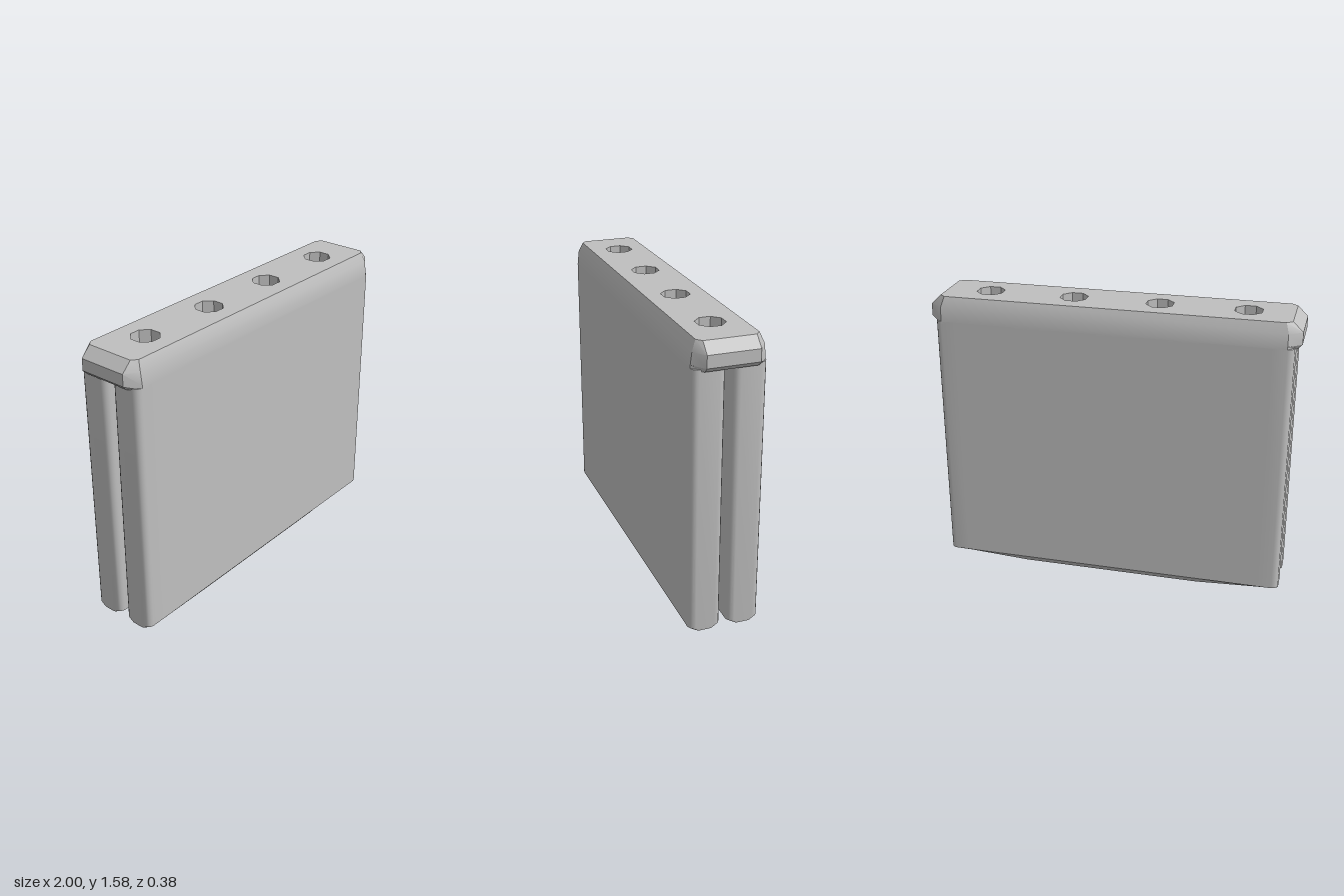
import * as THREE from 'three';
import { toCreasedNormals } from 'three/addons/utils/BufferGeometryUtils.js';

const grey = new THREE.MeshStandardMaterial({ color: 0xbfbfbf });
grey.name = 'grey';

// Extrudes a floor outline downward in layers; place(v, layer) sets each vertex, layer 0 on top.
function layered(shape, steps, place) {
  const geometry = new THREE.ExtrudeGeometry(shape, { depth: 1, steps, bevelEnabled: false });
  geometry.rotateX(Math.PI / 2);
  const p = geometry.attributes.position;
  const v = new THREE.Vector3();
  for (let i = 0; i < p.count; i++) {
    v.fromBufferAttribute(p, i);
    place(v, Math.round(-v.y * steps));
    p.setXYZ(i, v.x, v.y, v.z);
  }
  return toCreasedNormals(geometry, 0.5);
}

// Tall slab with rounded upright edges and a shallow bulging, chamfered foot
function slabGeometry() {
  const pts = [];
  const w = 0.965, z0 = 0.02, z1 = 0.19, r = 0.035;
  const corner = (cx, cz, start) => {
    for (let i = 0; i <= 4; i++) {
      const a = start + (i / 4) * Math.PI / 2;
      pts.push(new THREE.Vector2(cx + r * Math.cos(a), cz + r * Math.sin(a)));
    }
  };
  const along = (xs, z) => xs.forEach((x) => pts.push(new THREE.Vector2(x, z)));
  corner(w - r, z1 - r, 0);
  along([0.85, 0.5, -0.5, -0.85], z1);
  corner(r - w, z1 - r, Math.PI / 2);
  corner(r - w, z0 + r, Math.PI);
  along([-0.85, -0.5, 0.5, 0.85], z0);
  corner(w - r, z0 + r, Math.PI * 1.5);
  return layered(new THREE.Shape(pts), 2, (v, layer) => {
    v.y = [1.45, 0.042, 0][layer];
    if (layer === 2) {
      v.y = Math.max(0, (Math.abs(v.x) - 0.5) / 0.465) * 0.025;
      v.z = 0.105 + (v.z - 0.105) * 0.6;
    }
  });
}

// Cap bar with cut corners, bevelled top and four octagonal holes
function capGeometry() {
  const outline = [[1, -0.135], [1, 0.135], [0.93, 0.19], [-0.93, 0.19],
    [-1, 0.135], [-1, -0.135], [-0.93, -0.19], [0.93, -0.19]];
  const shape = new THREE.Shape(outline.map(([x, z]) => new THREE.Vector2(x, z)));
  for (const cx of [-0.705, -0.235, 0.235, 0.705]) {
    const hole = [];
    for (let i = 0; i < 8; i++) {
      const a = ((i + 0.5) / 8) * Math.PI * 2;
      hole.push(new THREE.Vector2(cx + 0.077 * Math.cos(a), 0.077 * Math.sin(a)));
    }
    shape.holes.push(new THREE.Path(hole));
  }
  return layered(shape, 3, (v, layer) => {
    v.y = [1.583, 1.53, 1.465, 1.44][layer];
    const end = Math.abs(v.x) > 0.99;
    const side = Math.abs(v.z) > 0.18;
    if (layer === 0) {
      if (end) v.x = Math.sign(v.x) * 0.945;
      if (side) v.set(Math.sign(v.x) * 0.915, v.y, Math.sign(v.z) * 0.16);
    }
    if (layer === 1 && side) v.z = Math.sign(v.z) * 0.182;
    if (layer === 3 && end) v.x = Math.sign(v.x) * 0.975;
  });
}

export function createModel() {
  const model = new THREE.Group();
  model.name = 'slottedHolder';

  const slab = slabGeometry();
  const frontSlab = new THREE.Mesh(slab, grey);
  frontSlab.name = 'frontSlab';
  const backSlab = new THREE.Mesh(slab, grey);
  backSlab.name = 'backSlab';
  backSlab.rotation.y = Math.PI;

  const cap = new THREE.Mesh(capGeometry(), grey);
  cap.name = 'capWithHoles';

  model.add(frontSlab, backSlab, cap);
  return model;
}
